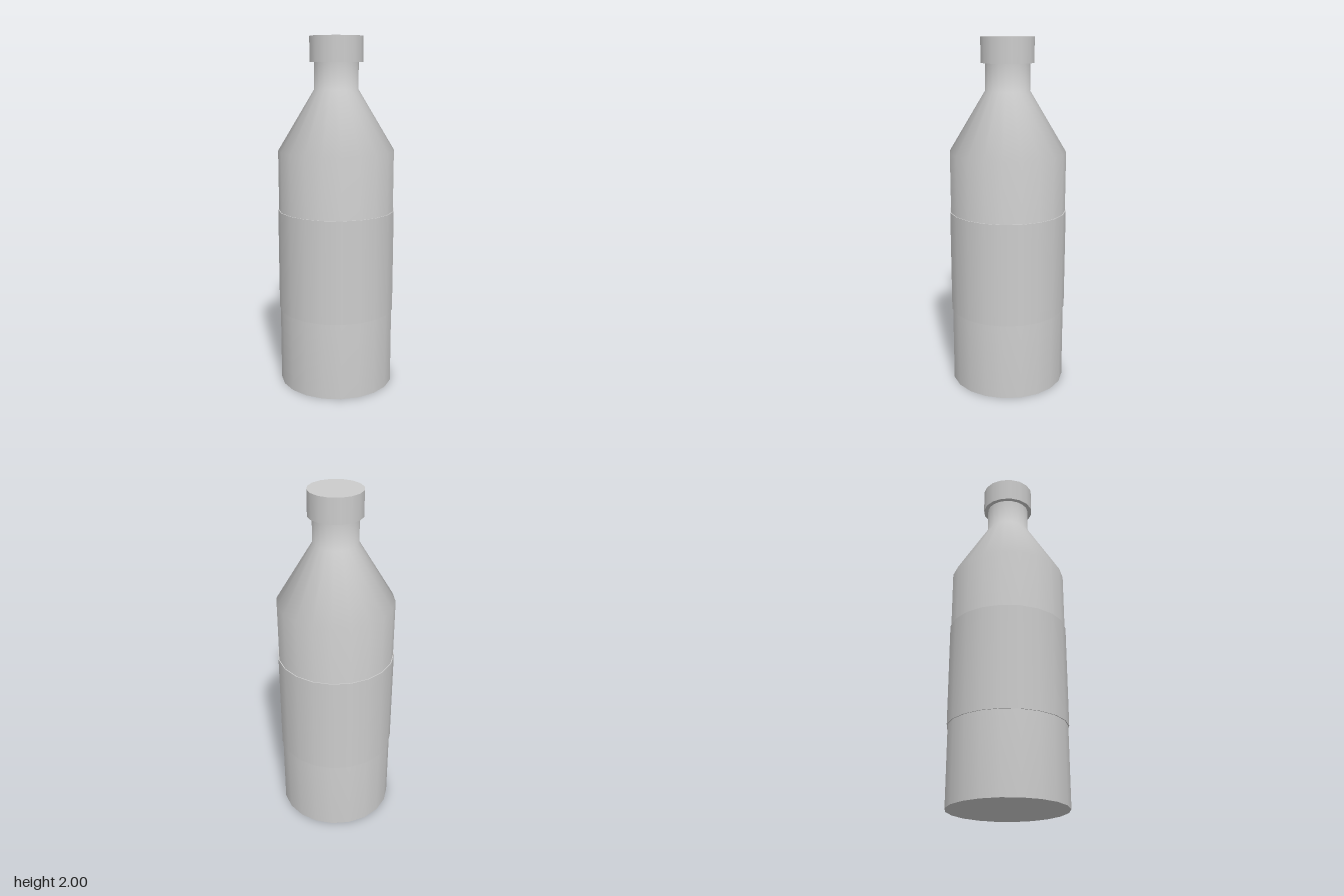
import * as THREE from 'three';

export function createModel() {
  const bottle = new THREE.Group();
  bottle.name = 'bottle';

  const grey = new THREE.MeshStandardMaterial({ color: 0xcccccc });
  grey.name = 'light grey';

  const add = (name, geometry, y = 0) => {
    const mesh = new THREE.Mesh(geometry, grey);
    mesh.name = name;
    mesh.position.y = y;
    bottle.add(mesh);
    return mesh;
  };

  // Body, sloping shoulder and neck turned as one smooth wall
  const profile = [[0.33, 0], [0.33, 1.37], [0.125, 1.71], [0.125, 1.87]]
    .map(([r, y]) => new THREE.Vector2(r, y));
  add('body', new THREE.LatheGeometry(profile, 20));

  // Flat underside
  add('base', new THREE.CircleGeometry(0.33, 20).rotateX(Math.PI / 2));

  // Thin band wrapped around the body
  add('label', new THREE.CylinderGeometry(0.335, 0.335, 0.585, 20), 0.7375);

  // Screw cap
  add('cap', new THREE.CylinderGeometry(0.15, 0.15, 0.14, 16), 1.93);

  return bottle;
}
